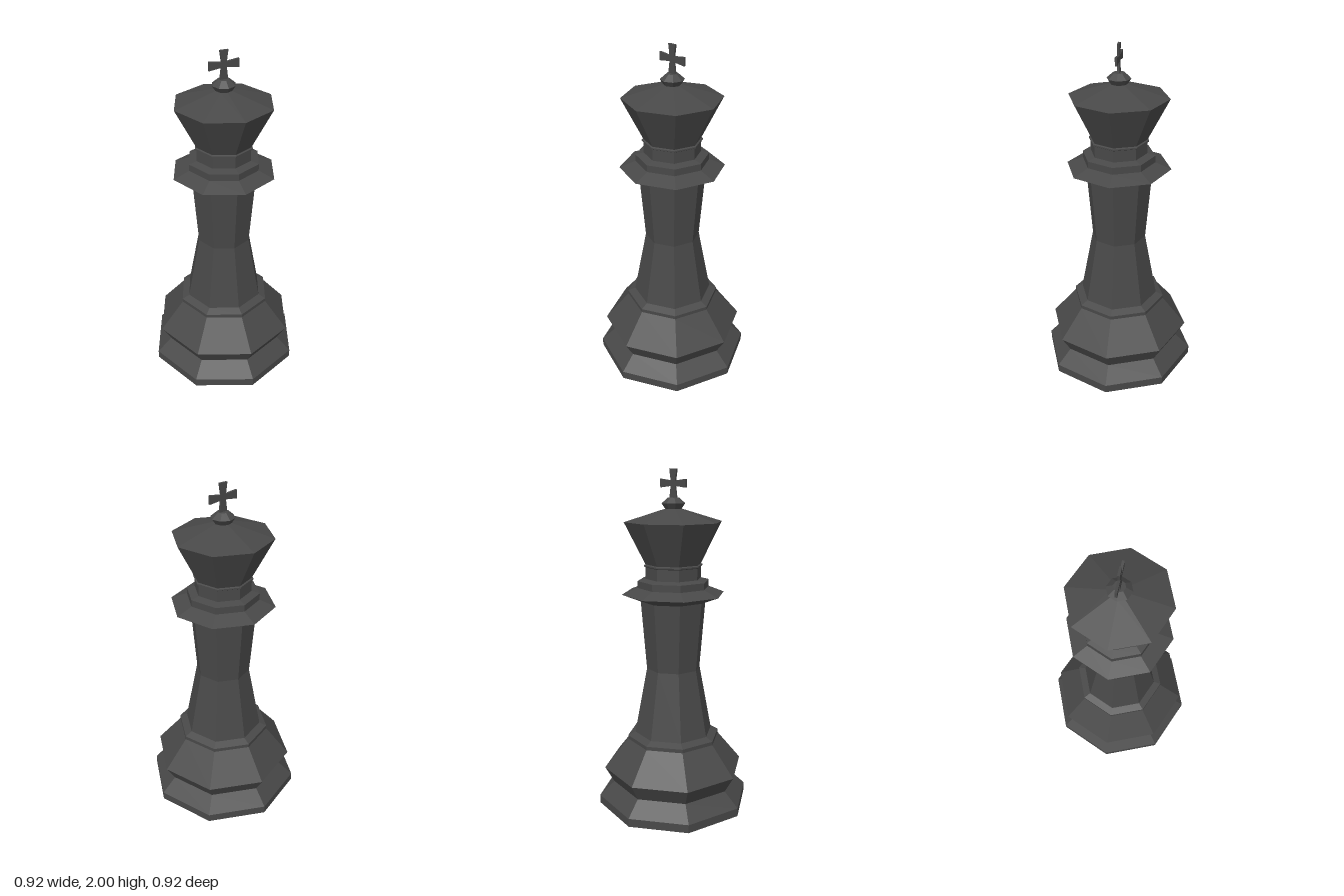
import * as THREE from 'three';

export function createModel() {
  const group = new THREE.Group();
  const charcoal = new THREE.MeshStandardMaterial({ color: 0x484848, flatShading: true });
  charcoal.name = 'charcoal';

  const add = (name, geometry) => {
    const mesh = new THREE.Mesh(geometry, charcoal);
    mesh.name = name;
    group.add(mesh);
    return mesh;
  };

  // Eight-sided turned part; profile is [radius, height] from bottom to top
  const turned = (name, profile) =>
    add(name, new THREE.LatheGeometry(profile.map(([r, y]) => new THREE.Vector2(r, y)), 8));

  turned('base', [[0, 0], [0.46, 0], [0.46, 0.05], [0.37, 0.135], [0.425, 0.232],
    [0.28, 0.41], [0.28, 0.432], [0.235, 0.452]]);
  turned('stem', [[0.235, 0.452], [0.16, 0.85], [0.193, 1.255]]);
  turned('collar', [[0.193, 1.255], [0.303, 1.298], [0.21, 1.335], [0.21, 1.375], [0.163, 1.387]]);
  turned('neck', [[0.163, 1.387], [0.163, 1.453], [0.172, 1.458], [0.172, 1.466], [0.163, 1.47]]);
  turned('crown', [[0.163, 1.47], [0.284, 1.71], [0.048, 1.782]]);
  turned('finial', [[0.048, 1.782], [0.068, 1.812], [0.032, 1.843], [0, 1.843]]);

  // Cross with flared arms: one quarter outline turned four times
  const arm = (length, tip) => [[0.015, 0.015], [length, tip], [length, -tip]];
  const lengths = [0.086, 0.078, 0.086, 0.086];
  const outline = lengths.flatMap((length, i) => {
    const a = i * Math.PI / 2;
    return arm(length, 0.024).reverse().map(([x, y]) =>
      new THREE.Vector2(x * Math.cos(a) - y * Math.sin(a), x * Math.sin(a) + y * Math.cos(a)));
  });
  const depth = 0.013;
  const cross = add('cross', new THREE.ExtrudeGeometry(new THREE.Shape(outline), { depth, bevelEnabled: false }));
  cross.position.set(0, 1.922, -depth / 2);

  return group;
}
